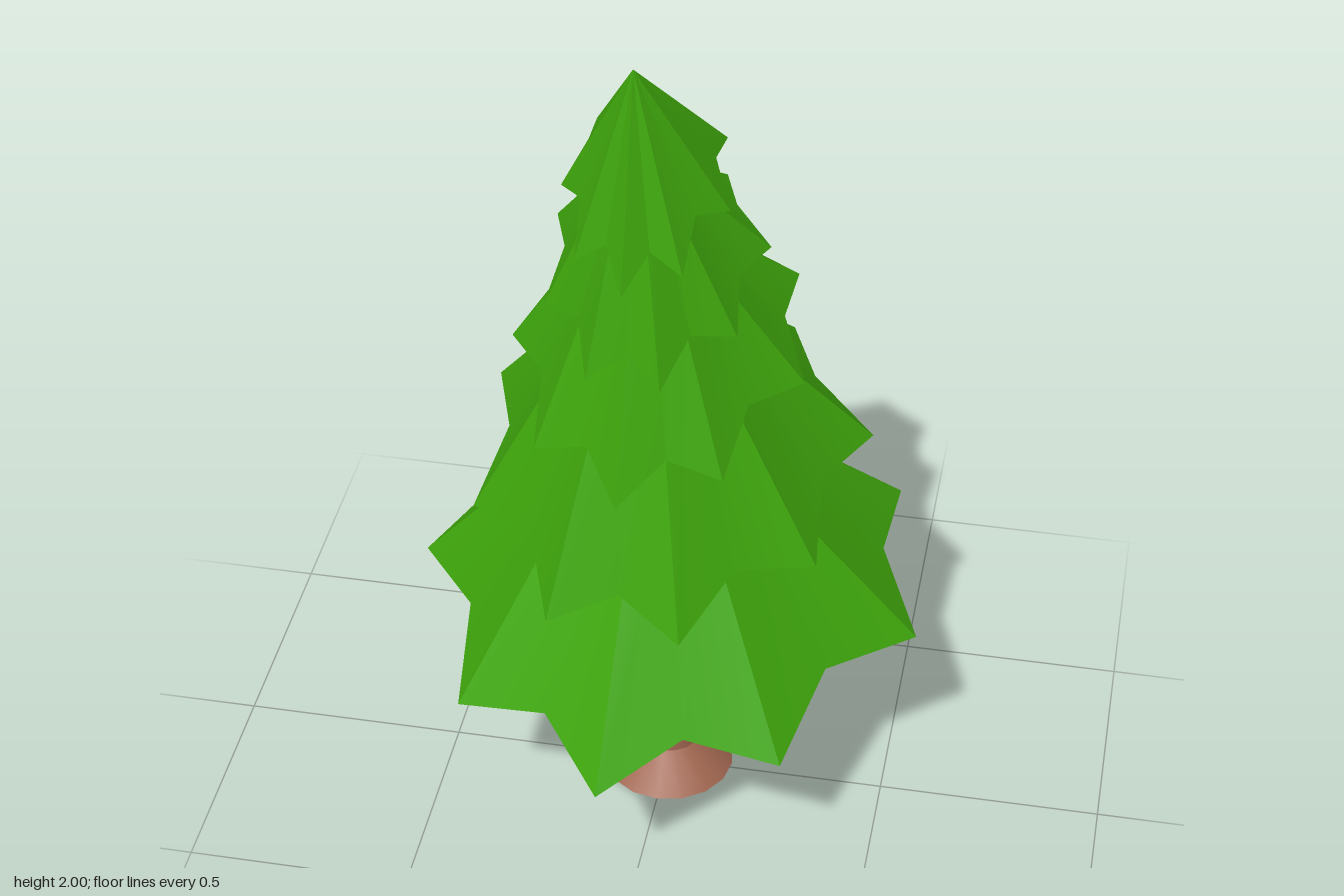
import * as THREE from 'three';
import { toCreasedNormals } from 'three/addons/utils/BufferGeometryUtils.js';

// Each skirt: tilted eight-pointed rim (centre z, height at z = 0, slope along z,
// tip and valley radii, valley lift, turn in degrees, underside height)
// rising to a smaller top ring (y, z, radius).
const TIERS = [
  { z: -0.002, y: 0.507, slope: -0.195, tip: 0.568, valley: 0.463, lift: 0.052, turn: 0, under: 0.13, top: [0.98, 0.07], ring: 0.18 },
  { z: 0.028, y: 0.888, slope: -0.34, tip: 0.435, valley: 0.35, lift: 0.045, turn: 22.5, under: 0.1, top: [1.34, 0.12], ring: 0.135 },
  { z: 0.078, y: 1.246, slope: -0.5, tip: 0.318, valley: 0.255, lift: 0.042, turn: 0, under: 0.09, top: [1.56, 0.155], ring: 0.095 },
  { z: 0.118, y: 1.514, slope: -0.59, tip: 0.234, valley: 0.185, lift: 0.038, turn: 22.5, under: 0.08, top: [1.74, 0.2], ring: 0.062 },
  { z: 0.163, y: 1.778, slope: -0.72, tip: 0.175, valley: 0.135, lift: 0.048, turn: 0, under: 0.07, top: [2.0, 0.241], ring: 0 },
];
const POINTS = 8;

function skirtGeometry(t) {
  const n = POINTS * 2, rim = [], ring = [], pos = [];
  const [topY, topZ] = t.top;
  for (let i = 0; i < n; i++) {
    const a = THREE.MathUtils.degToRad(t.turn) + (i / n) * Math.PI * 2;
    const isValley = i % 2 === 1;
    const r = isValley ? t.valley : t.tip;
    const z = t.z + r * Math.sin(a);
    const widen = 1 - 0.14 * Math.sin(a);                          // broader at the back
    rim.push([r * Math.cos(a) * widen, t.y + t.slope * z + (isValley ? t.lift : 0), z]);
    const rr = t.ring * (isValley ? Math.cos(Math.PI / POINTS) : 1); // octagonal ring
    const dz = rr * Math.sin(a);
    ring.push([rr * Math.cos(a), topY - 0.15 * dz, topZ + dz]);
  }
  const centre = [0, t.y + t.slope * t.z + t.under, t.z];
  for (let i = 0; i < n; i++) {
    const j = (i + 1) % n;
    pos.push(...rim[i], ...ring[i], ...rim[j]);                    // slope
    if (t.ring > 0) pos.push(...ring[i], ...ring[j], ...rim[j]);
    pos.push(...centre, ...rim[i], ...rim[j]);                     // underside
  }
  const g = new THREE.BufferGeometry();
  g.setAttribute('position', new THREE.Float32BufferAttribute(pos, 3));
  return toCreasedNormals(g, THREE.MathUtils.degToRad(25));
}

// Smooth round tube through [radius, y, centre z] sections
function trunkGeometry(sections) {
  const g = new THREE.LatheGeometry(sections.map(([r, y]) => new THREE.Vector2(r, y)), 16);
  const p = g.attributes.position;
  for (let i = 0; i < p.count; i++) {
    p.setZ(i, p.getZ(i) + sections[i % sections.length][2]);
  }
  return g;
}

export function createModel() {
  const leafGreen = new THREE.MeshStandardMaterial({ color: 0x3fa70c });
  leafGreen.name = 'leafGreen';
  const barkBrown = new THREE.MeshStandardMaterial({ color: 0xa06650 });
  barkBrown.name = 'barkBrown';
  barkBrown.side = THREE.DoubleSide;

  const tree = new THREE.Group();
  tree.name = 'pineTree';
  const add = (parent, name, geometry, material) => {
    const m = new THREE.Mesh(geometry, material);
    m.name = name;
    parent.add(m);
  };

  // Trunk and its flared foot, separate so the edge between them stays sharp
  add(tree, 'trunkFoot', trunkGeometry([[0.15, 0, -0.015], [0.074, 0.08, -0.016]]), barkBrown);
  add(tree, 'trunk', trunkGeometry([[0.074, 0.08, -0.016], [0.06, 0.25, -0.006], [0.051, 0.42, 0.004], [0.048, 0.65, 0.008]]), barkBrown);

  // Foliage, from the widest skirt up to the leaning crown, turned slightly
  const foliage = new THREE.Group();
  foliage.name = 'foliage';
  foliage.rotation.y = THREE.MathUtils.degToRad(-5.2);
  TIERS.forEach((t, i) => {
    add(foliage, t.ring > 0 ? `foliageSkirt${i + 1}` : 'foliageCrown', skirtGeometry(t), leafGreen);
  });
  tree.add(foliage);
  return tree;
}
